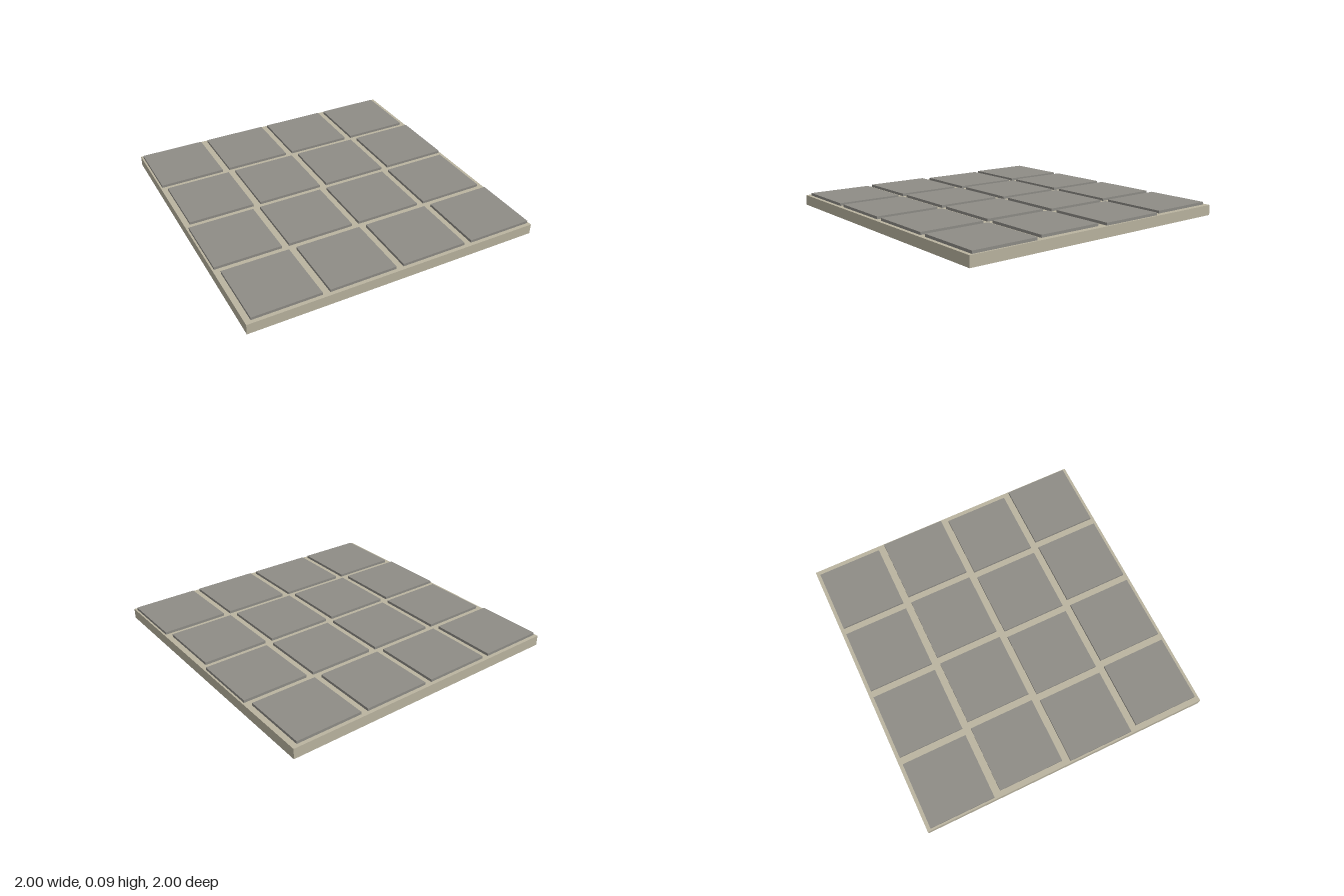
import * as THREE from 'three';

export function createModel() {
  const model = new THREE.Group();
  model.name = 'pavedFloor';

  const mortar = new THREE.MeshStandardMaterial({ color: 0xbab4a0 });
  const stone = new THREE.MeshStandardMaterial({ color: 0x8e8c86 });

  const baseHeight = 0.07, tileHeight = 0.018, tileSize = 0.45, pitch = 0.5, shift = 0.0125;

  // Mortar slab
  const base = new THREE.Mesh(new THREE.BoxGeometry(2, baseHeight, 2), mortar);
  base.name = 'baseSlab';
  base.position.y = baseHeight / 2;
  model.add(base);

  // Paving tiles, with alternate rows nudged sideways
  const tiles = new THREE.Group();
  tiles.name = 'tiles';
  const tileGeometry = new THREE.BoxGeometry(tileSize, tileHeight, tileSize);
  for (let row = 0; row < 4; row++) {
    const offset = row % 2 ? shift : -shift;
    for (let col = 0; col < 4; col++) {
      const tile = new THREE.Mesh(tileGeometry, stone);
      tile.name = `tile_${row + 1}_${col + 1}`;
      tile.position.set((col - 1.5) * pitch + offset, baseHeight + tileHeight / 2, (row - 1.5) * pitch);
      tiles.add(tile);
    }
  }
  model.add(tiles);

  return model;
}
